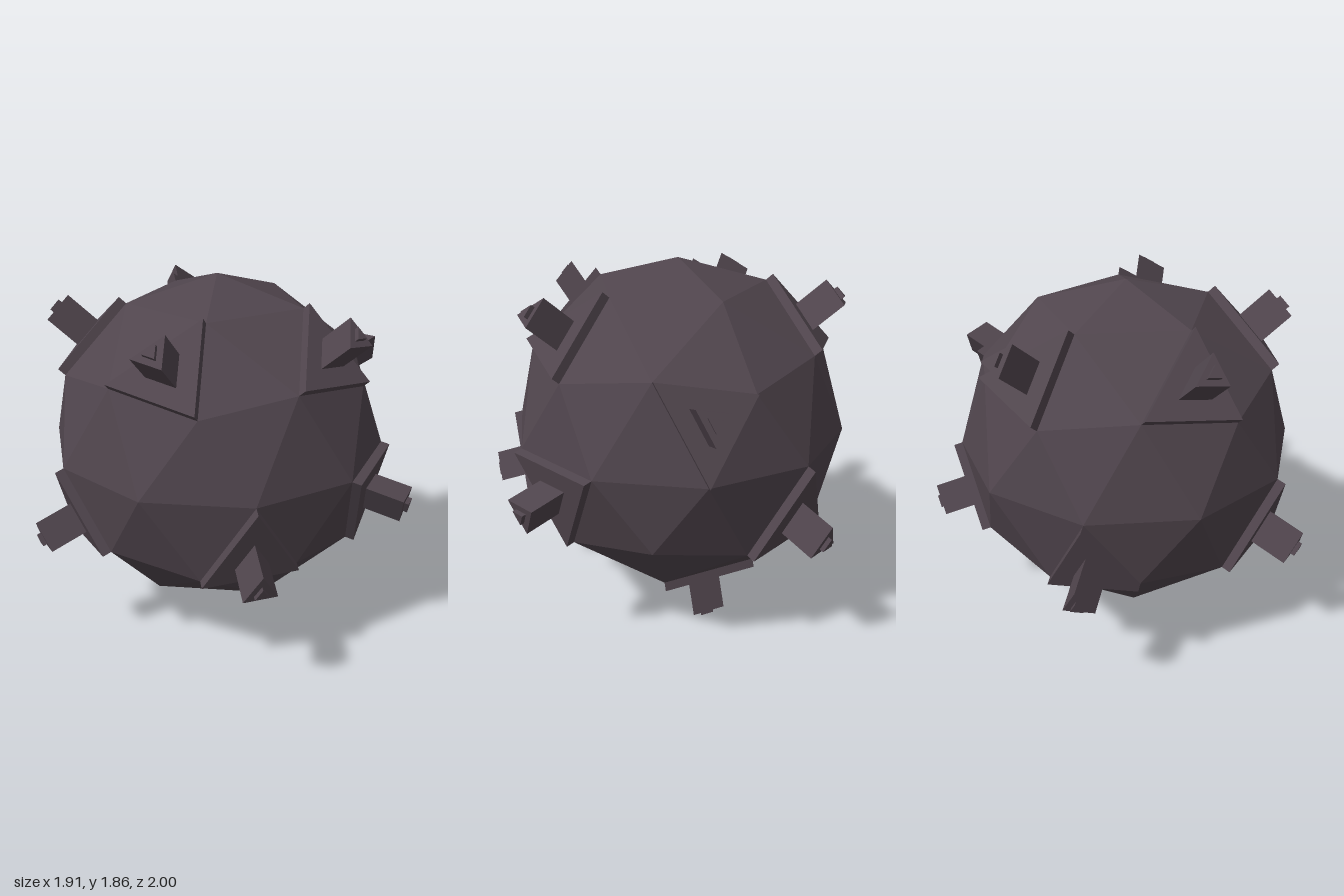
import * as THREE from 'three';

const RADIUS = 0.845;
const CENTRE_Y = 1.015;

// Twelve corners of an icosahedron standing on one corner
function icosahedronCorners() {
  const ring = (y, startDeg) => Array.from({ length: 5 }, (_, i) => {
    const a = THREE.MathUtils.degToRad(startDeg + i * 72);
    return new THREE.Vector3(Math.cos(a) * 2 / Math.sqrt(5), y, Math.sin(a) * 2 / Math.sqrt(5));
  });
  const h = 1 / Math.sqrt(5);
  return {
    top: new THREE.Vector3(0, 1, 0), upper: ring(h, 0),
    lower: ring(-h, 36), bottom: new THREE.Vector3(0, -1, 0),
  };
}

// Each of the 20 faces split into four; corners ordered to face outward
function ballFaces() {
  const { top, upper, lower, bottom } = icosahedronCorners();
  const big = [];
  for (let i = 0; i < 5; i++) {
    const j = (i + 1) % 5;
    big.push([top, upper[i], upper[j]], [upper[i], lower[i], upper[j]],
      [lower[i], lower[j], upper[j]], [bottom, lower[i], lower[j]]);
  }
  const mid = (p, q) => p.clone().add(q).normalize();
  const faces = [];
  for (const [a, b, c] of big) {
    const ab = mid(a, b), bc = mid(b, c), ca = mid(c, a);
    faces.push([a, ab, ca], [ab, b, bc], [ca, bc, c], [ab, bc, ca]);
  }
  return faces.map((f) => {
    const [a, b, c] = f.map((v) => v.clone().multiplyScalar(RADIUS));
    const n = b.clone().sub(a).cross(c.clone().sub(a));
    return n.dot(a) > 0 ? [a, b, c] : [a, c, b];
  });
}

const centroid = (f) => f[0].clone().add(f[1]).add(f[2]).divideScalar(3);

function geometryFrom(triangles) {
  const g = new THREE.BufferGeometry().setFromPoints(triangles.flat());
  g.computeVertexNormals();
  return g;
}

// Three-sided block rising from a face, shrunk toward the face centre
function prism(face, scale, from, to) {
  const c = centroid(face);
  const n = face[1].clone().sub(face[0]).cross(face[2].clone().sub(face[0])).normalize();
  const loop = (d) => face.map((v) => c.clone().lerp(v, scale).addScaledVector(n, d));
  const lo = loop(from), hi = loop(to);
  const tris = [hi];
  for (let i = 0; i < 3; i++) {
    const j = (i + 1) % 3;
    tris.push([lo[i], lo[j], hi[j]], [lo[i], hi[j], hi[i]]);
  }
  return geometryFrom(tris);
}

// Approximate centres of the faces that carry a stud, relative to the ball centre
const STUDS = [
  [0.24, -0.15, 0.74], [-0.44, -0.27, 0.61], [0.05, 0.51, 0.61], [0.71, 0.27, 0.23],
  [0.71, -0.27, -0.23], [0.24, -0.76, 0], [0, -0.27, -0.75], [0.32, 0.51, -0.52],
  [-0.40, 0.51, -0.46], [-0.56, 0.51, 0.24], [-0.71, -0.27, -0.23],
];

export function createModel() {
  const model = new THREE.Group();
  model.name = 'studdedBall';
  const iron = new THREE.MeshStandardMaterial({ color: 0x50454d });
  iron.name = 'darkIron';
  iron.flatShading = true;

  const body = new THREE.Group();
  body.name = 'ball';
  body.position.y = CENTRE_Y;
  model.add(body);
  const add = (parent, name, geometry) => {
    const mesh = new THREE.Mesh(geometry, iron);
    mesh.name = name;
    parent.add(mesh);
  };

  const faces = ballFaces();
  const studFaces = STUDS.map((p) => {
    const target = new THREE.Vector3(...p);
    return faces.reduce((best, f) =>
      centroid(f).distanceTo(target) < centroid(best).distanceTo(target) ? f : best);
  });

  // Faceted shell, open beneath the studs
  add(body, 'shell', geometryFrom(faces.filter((f) => !studFaces.includes(f))));

  // Studs: raised plate, three-sided peg and small tip
  for (const f of studFaces) {
    const stud = new THREE.Group();
    stud.name = 'stud';
    add(stud, 'plate', prism(f, 1, 0, 0.045));
    add(stud, 'peg', prism(f, 0.345, 0.045, 0.234));
    add(stud, 'tip', prism(f, 0.14, 0.234, 0.255));
    body.add(stud);
  }
  return model;
}
